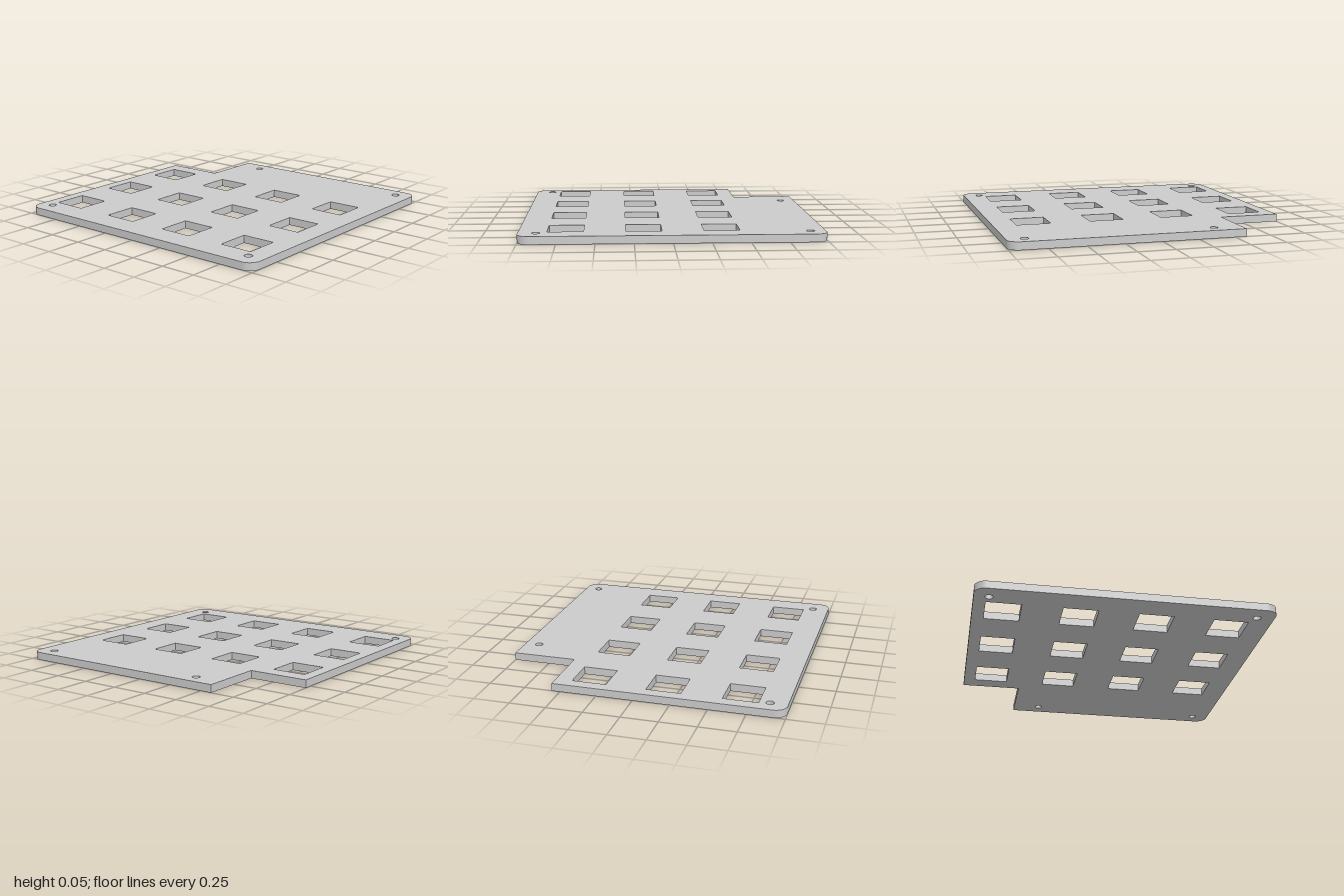
import * as THREE from 'three';
import { toCreasedNormals } from 'three/addons/utils/BufferGeometryUtils.js';

const THICKNESS = 0.053;
const CORNER = 0.08;

// Plate outline, drawn with shape y = -z: three rounded corners and a stepped back right corner
function plateOutline() {
  const s = new THREE.Shape();
  const c = 1 - CORNER;
  s.moveTo(-c, -1);
  s.lineTo(c, -1);
  s.absarc(c, -c, CORNER, -Math.PI / 2, 0, false);
  s.lineTo(1, c);
  s.absarc(c, c, CORNER, 0, Math.PI / 2, false);
  s.lineTo(-0.58, 1);
  s.lineTo(-0.58, 0.557);
  s.lineTo(-1, 0.557);
  s.lineTo(-1, -c);
  s.absarc(-c, -c, CORNER, Math.PI, Math.PI * 1.5, false);
  return s;
}

function squareHole(x, z, size) {
  const h = size / 2;
  return new THREE.Path([[-h, -h], [-h, h], [h, h], [h, -h]]
    .map(([dx, dy]) => new THREE.Vector2(x + dx, -z + dy)));
}

function roundHole(x, z, radius) {
  return new THREE.Path().absarc(x, -z, radius, 0, Math.PI * 2, true);
}

export function createModel() {
  const group = new THREE.Group();
  group.name = 'keySwitchPlate';
  const outline = plateOutline();

  // Switch cutouts, 4 columns by 3 rows
  for (let col = 0; col < 4; col++) {
    for (let row = 0; row < 3; row++) {
      outline.holes.push(squareHole(-0.8 + col * 0.5087, -0.325 + row * 0.51, 0.236));
    }
  }

  // Screw holes
  for (const [x, z] of [[-0.388, -0.9], [0.882, -0.9], [-0.9, 0.883], [0.882, 0.883]]) {
    outline.holes.push(roundHole(x, z, 0.027));
  }

  const geometry = new THREE.ExtrudeGeometry(outline, {
    depth: THICKNESS, bevelEnabled: false, curveSegments: 16,
  });
  geometry.rotateX(-Math.PI / 2);

  const plate = new THREE.Mesh(
    toCreasedNormals(geometry, Math.PI / 5),
    new THREE.MeshStandardMaterial({ color: 0xcccccc }),
  );
  plate.name = 'plate';
  group.add(plate);
  return group;
}
